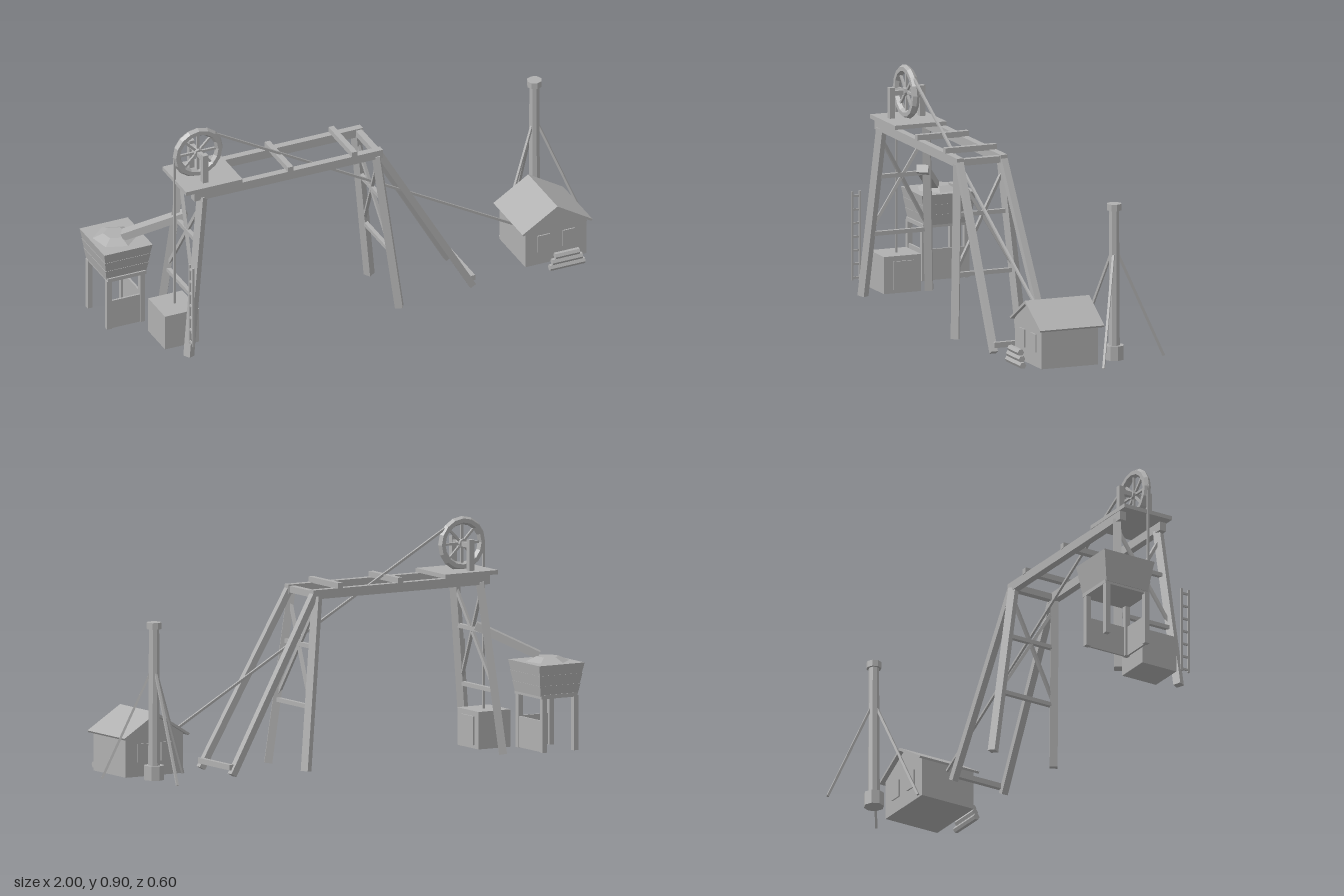
import * as THREE from 'three';

const grey = new THREE.MeshStandardMaterial({ color: 0xb0b0b0, flatShading: true });
grey.name = 'weathered grey';

export function createModel() {
  const root = new THREE.Group();
  root.name = 'mineHeadframe';

  const group = (name) => {
    const g = new THREE.Group();
    g.name = name;
    root.add(g);
    return g;
  };
  const add = (parent, name, geo, x = 0, y = 0, z = 0) => {
    const m = new THREE.Mesh(geo, grey);
    m.name = name;
    m.position.set(x, y, z);
    parent.add(m);
    return m;
  };
  // Box given by its min and max corners
  const block = (parent, name, [x0, y0, z0], [x1, y1, z1]) =>
    add(parent, name, new THREE.BoxGeometry(x1 - x0, y1 - y0, z1 - z0),
      (x0 + x1) / 2, (y0 + y1) / 2, (z0 + z1) / 2);
  // Straight timber between two points
  const beam = (parent, name, a, b, w, h = w) => {
    const p = new THREE.Vector3(...a), q = new THREE.Vector3(...b);
    const m = add(parent, name, new THREE.BoxGeometry(w, h, p.distanceTo(q)));
    m.position.copy(p).add(q).multiplyScalar(0.5);
    m.lookAt(q);
    return m;
  };
  const mid = 0.108; // centre line of the headframe

  // Top deck: long beams, cross pieces and wheel platform
  const deck = group('deck');
  for (const s of [-1, 1]) {
    const z = mid + s * 0.09;
    block(deck, 'longBeam', [-0.73, 0.655, z - 0.014], [0.055, 0.69, z + 0.014]);
  }
  for (const x of [-0.33, -0.064])
    block(deck, 'crossPiece', [x - 0.011, 0.688, 0.002], [x + 0.011, 0.71, 0.214]);
  block(deck, 'endBeam', [0.025, 0.66, 0.02], [0.05, 0.685, 0.2]);
  block(deck, 'platform', [-0.765, 0.69, 0.002], [-0.53, 0.706, 0.215]);

  // Two splayed trestles with rungs and cross braces
  const trestle = (name, xTop, xBottom) => {
    const g = group(name);
    const at = (y, s) => {
      const t = (0.665 - y) / 0.66;
      return [xTop + (xBottom - xTop) * t, y, mid + s * (0.092 + 0.044 * t)];
    };
    for (const s of [-1, 1]) {
      beam(g, 'leg', at(0.665, s), at(0.008, s), 0.03);
      beam(g, 'crossBrace', at(0.63, s), at(0.26, -s), 0.012);
    }
    for (const y of [0.475, 0.25]) beam(g, 'rung', at(y, 1), at(y, -1), 0.016);
  };
  trestle('frontTrestle', -0.692, -0.768);
  trestle('rearTrestle', 0.032, 0.108);

  // Raking back legs
  const rake = group('backLegs');
  for (const s of [-1, 1])
    beam(rake, 'backLeg', [0.045, 0.67, mid + s * 0.09], [0.422, 0.014, mid + s * 0.112], 0.026);
  block(rake, 'footBeam', [0.416, 0.033, -0.005], [0.434, 0.054, 0.222]);

  // Winding wheel on its posts
  const wheel = group('windingWheel');
  const [wx, wy] = [-0.668, 0.803];
  add(wheel, 'rim', new THREE.TorusGeometry(0.088, 0.016, 6, 16), wx, wy, mid);
  for (let i = 0; i < 4; i++) {
    const spoke = add(wheel, 'spokePair', new THREE.BoxGeometry(0.17, 0.009, 0.009), wx, wy, mid);
    spoke.rotation.z = i * Math.PI / 4;
  }
  const hub = add(wheel, 'hub', new THREE.CylinderGeometry(0.018, 0.018, 0.03, 8), wx, wy, mid);
  hub.rotation.x = Math.PI / 2;
  block(wheel, 'axle', [wx - 0.009, 0.793, 0.04], [wx + 0.009, 0.811, 0.18]);
  for (const s of [-1, 1])
    block(wheel, 'post', [wx - 0.011, 0.7, mid + s * 0.062 - 0.011], [wx + 0.011, 0.824, mid + s * 0.062 + 0.011]);

  // Cables
  const cables = group('cables');
  beam(cables, 'haulCable', [-0.6, 0.868, mid], [0.65, 0.163, mid], 0.009);
  block(cables, 'cageCable', [-0.769, 0.16, mid - 0.004], [-0.761, 0.81, mid + 0.004]);

  // Cage at the shaft, with a door panel
  const cage = group('cage');
  block(cage, 'cageBox', [-0.84, 0.022, 0.035], [-0.698, 0.165, 0.187]);
  block(cage, 'cageDoor', [-0.7, 0.035, 0.065], [-0.692, 0.145, 0.15]);

  // Ladder
  const ladder = group('ladder');
  for (const z of [0.256, 0.287])
    block(ladder, 'ladderRail', [-0.773, 0.07, z - 0.004], [-0.765, 0.413, z + 0.004]);
  for (let y = 0.08; y < 0.41; y += 0.0525)
    block(ladder, 'ladderRung', [-0.772, y - 0.004, 0.256], [-0.766, y + 0.004, 0.287]);

  // Ore bin: flared plank courses on legs, two low walls, ore heap
  const bin = group('oreBin');
  const bx = -0.9, bz = -0.125;
  for (let i = 0; i < 3; i++) {
    const k = Math.SQRT1_2; // square side to radius
    const side = 0.165 + i * 0.011;
    const g = new THREE.CylinderGeometry((side + 0.014) * k, side * k, 0.04, 4);
    g.rotateY(Math.PI / 4);
    g.scale(1, 1, 1.12);
    add(bin, 'plankCourse', g, bx, 0.265 + i * 0.04, bz);
  }
  block(bin, 'binFloor', [-0.98, 0.235, -0.221], [-0.82, 0.25, -0.025]);
  for (const x of [-0.973, -0.835])
    for (const z of [-0.21, -0.035])
      block(bin, 'binLeg', [x - 0.01, 0.03, z - 0.01], [x + 0.01, 0.24, z + 0.01]);
  block(bin, 'sideWall', [-0.836, 0.031, -0.21], [-0.828, 0.15, -0.03]);
  block(bin, 'frontWall', [-0.975, 0.031, -0.036], [-0.83, 0.15, -0.028]);
  const heap = add(bin, 'oreHeap', new THREE.CylinderGeometry(0.045, 0.085, 0.018, 6), -0.905, 0.374, -0.125);
  heap.rotation.y = 0.2;
  beam(bin, 'chute', [-0.685, 0.497, 0.035], [-0.885, 0.385, -0.095], 0.045, 0.03);

  // Engine house with gabled roof
  const house = group('engineHouse');
  const wall = new THREE.Shape([[0.64, 0.04], [0.895, 0.04], [0.895, 0.195], [0.7675, 0.27], [0.64, 0.195]]
    .map(([x, y]) => new THREE.Vector2(x, y)));
  add(house, 'walls', new THREE.ExtrudeGeometry(wall, { depth: 0.232, bevelEnabled: false }), 0, 0, -0.005);
  const roof = new THREE.Shape([[0.622, 0.192], [0.627, 0.185], [0.7675, 0.27], [0.908, 0.185], [0.913, 0.192], [0.7675, 0.282]]
    .map(([x, y]) => new THREE.Vector2(x, y)));
  add(house, 'roof', new THREE.ExtrudeGeometry(roof, { depth: 0.265, bevelEnabled: false }), 0, 0, -0.024);
  for (const z of [-0.006, 0.228])
    for (const x of [0.715, 0.82])
      block(house, 'window', [x - 0.025, 0.095, z - 0.004], [x + 0.025, 0.165, z + 0.004]);

  // Stacked logs in front of the house
  const logs = group('logPile');
  [0.145, 0.125, 0.1].forEach((len, i) => {
    const log = add(logs, 'log', new THREE.CylinderGeometry(0.013, 0.013, len, 6), 0.785, 0.052 + i * 0.023, 0.287);
    log.rotation.z = Math.PI / 2;
  });

  // Chimney with three stays
  const chimney = group('chimney');
  const [cx, cz] = [0.828, -0.1];
  add(chimney, 'chimneyBase', new THREE.CylinderGeometry(0.039, 0.039, 0.055, 8), cx, 0.0675, cz);
  add(chimney, 'stack', new THREE.CylinderGeometry(0.02, 0.023, 0.54, 8), cx, 0.355, cz);
  add(chimney, 'chimneyCap', new THREE.CylinderGeometry(0.029, 0.029, 0.025, 8), cx, 0.628, cz);
  for (let i = 0; i < 3; i++) {
    const a = -1.48 + i * Math.PI * 2 / 3;
    const p = (r, y) => [cx + Math.cos(a) * r, y, cz + Math.sin(a) * r];
    beam(chimney, 'stay', p(0.015, 0.445), p(0.197, 0.042), 0.009);
  }
  return root;
}
